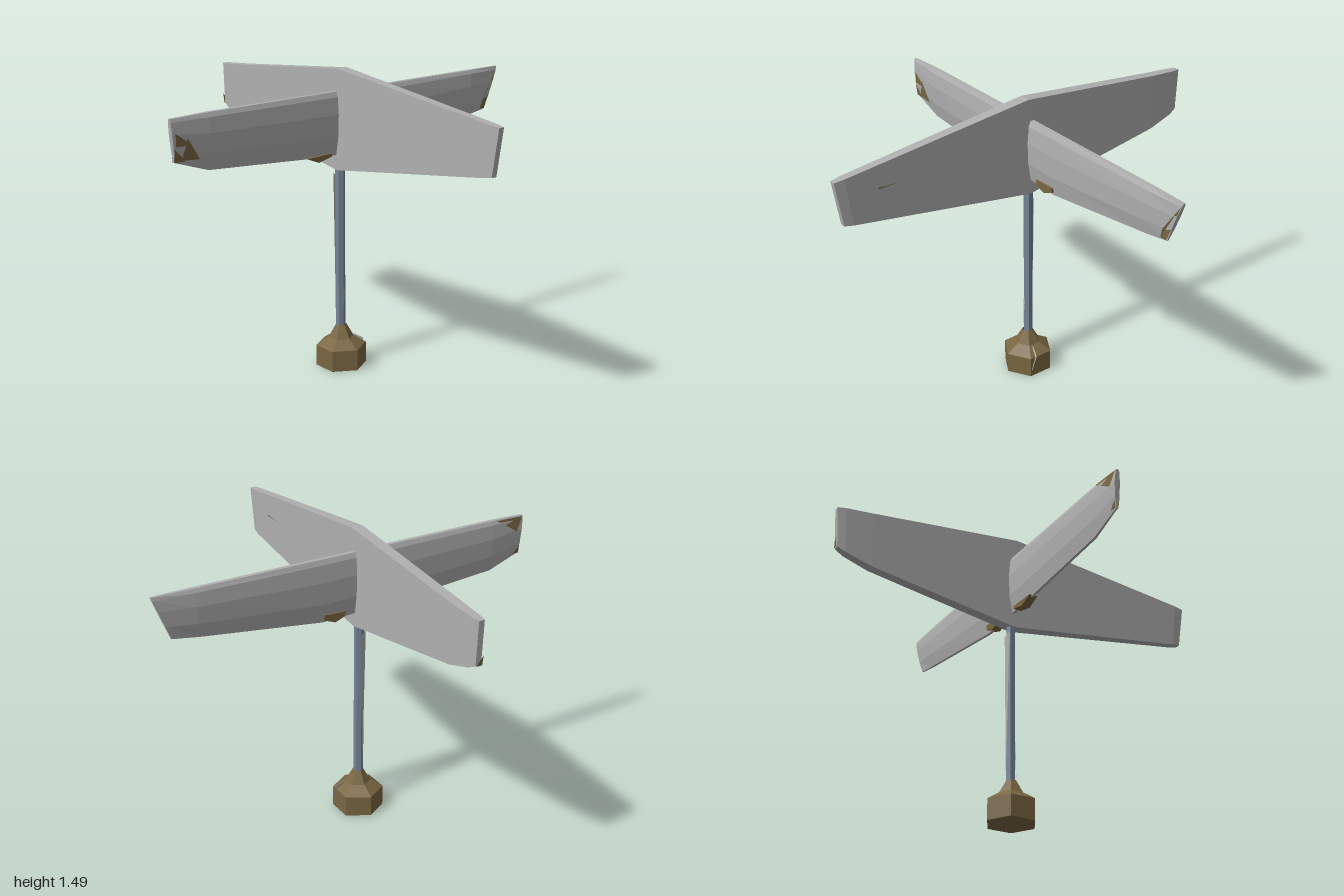
import * as THREE from 'three';

const CX = -0.054, CZ = -0.05; // post axis

function mat(name, color, side = THREE.FrontSide) {
  const m = new THREE.MeshStandardMaterial({ color, side, flatShading: true });
  m.name = name;
  return m;
}

// faceted solid through rings of equal point count, capped at both ends
function loft(rings) {
  const pos = [], n = rings[0].length;
  const tri = (a, b, c) => pos.push(...a, ...b, ...c);
  for (let i = 0; i < rings.length - 1; i++) {
    for (let j = 0; j < n; j++) {
      const k = (j + 1) % n, p = rings[i], q = rings[i + 1];
      tri(p[j], p[k], q[k]);
      tri(p[j], q[k], q[j]);
    }
  }
  const last = rings[rings.length - 1];
  for (let j = 1; j < n - 1; j++) {
    tri(rings[0][0], rings[0][j + 1], rings[0][j]);
    tri(last[0], last[j], last[j + 1]);
  }
  return triangles(pos);
}

function triangles(pos) {
  const g = new THREE.BufferGeometry();
  g.setAttribute('position', new THREE.Float32BufferAttribute(pos, 3));
  g.computeVertexNormals();
  return g;
}

// cross board stations: x at top, x at bottom, top y, bottom y, half thickness
const STATIONS = [
  [-1, -0.985, 1.375, 1.18, 0.014],
  [-0.81, -0.81, 1.38, 1.12, 0.025],
  [-0.25, -0.25, 1.38, 1.08, 0.027],
  [0.15, 0.15, 1.38, 1.065, 0.027],
  [0.8, 0.78, 1.38, 1.145, 0.025],
  [0.995, 0.91, 1.38, 1.165, 0.012],
];
// lens profile from top to bottom: position, share of the half thickness
const LENS = [[0, 0.4], [0.08, 0.75], [0.35, 1], [0.7, 0.85], [1, 0.25]];
const lerp = THREE.MathUtils.lerp;

function lensShare(t) {
  for (let i = 1; i < LENS.length; i++) {
    const [t0, s0] = LENS[i - 1], [t1, s1] = LENS[i];
    if (t <= t1) return lerp(s0, s1, (t - t0) / (t1 - t0));
  }
  return LENS[LENS.length - 1][1];
}

// half thickness of the cross board at a point of its face
function halfAt(x, y) {
  for (let i = 1; i < STATIONS.length; i++) {
    const a = STATIONS[i - 1], b = STATIONS[i];
    if (x <= b[0]) {
      const f = THREE.MathUtils.clamp((x - a[0]) / (b[0] - a[0]), 0, 1);
      const top = lerp(a[2], b[2], f), bottom = lerp(a[3], b[3], f);
      const t = THREE.MathUtils.clamp((top - y) / (top - bottom), 0, 1);
      return lerp(a[4], b[4], f) * lensShare(t);
    }
  }
  return 0.012;
}

function crossBoardGeometry() {
  return loft(STATIONS.map(([xt, xb, top, bottom, h]) => {
    const side = (s) => LENS.map(([t, w]) => [lerp(xt, xb, t), lerp(top, bottom, t), CZ + s * h * w]);
    return [...side(1), ...side(-1).reverse()];
  }));
}

function longBoardGeometry() {
  // z at top, z at bottom, top y, bottom y, half thickness
  const st = [
    [-0.99, -0.98, 1.39, 1.18, 0.014],
    [-0.95, -0.94, 1.393, 1.16, 0.021],
    [-0.81, -0.81, 1.405, 1.12, 0.025],
    [-0.03, -0.04, 1.49, 1.0, 0.029],
    [0.95, 0.92, 1.386, 1.152, 0.02],
    [1.0, 0.965, 1.38, 1.16, 0.014],
  ];
  return loft(st.map(([zt, zb, top, bottom, h]) => [
    [CX + h, bottom, zb], [CX + h, top, zt], [CX - h, top, zt], [CX - h, bottom, zb],
  ]));
}

export function createModel() {
  const group = new THREE.Group();
  const boardGrey = mat('board grey', 0xb0b0b0, THREE.DoubleSide);
  const bronze = mat('bronze', 0x7a6743, THREE.DoubleSide);
  const steel = mat('steel blue', 0x758497);
  const add = (name, geometry, material) => {
    const m = new THREE.Mesh(geometry, material);
    m.name = name;
    group.add(m);
    return m;
  };

  // six-sided foot and neck
  const foot = [[0.125, 0, 0.125, 0.105], [0.125, 0.105, 0.063, 0.145], [0.063, 0.145, 0.026, 0.21]];
  foot.forEach(([r0, y0, r1, y1], i) => {
    const m = add(i ? 'neck' : 'foot', new THREE.CylinderGeometry(r1, r0, y1 - y0, 6, 1, i > 0), bronze);
    m.position.set(CX, (y0 + y1) / 2, -0.046);
  });

  // post
  const post = add('post', new THREE.CylinderGeometry(0.024, 0.024, 0.86, 6), steel);
  post.position.set(CX, 0.63, CZ);

  // boards
  add('longBoard', longBoardGeometry(), boardGrey);
  add('crossBoard', crossBoardGeometry(), boardGrey);

  // worn patches lying on the faces of the cross board
  const patch = (side, pts) => {
    const p = pts.map(([x, y]) => [x, y, CZ + side * (halfAt(x, y) + 0.003)]);
    const pos = [];
    for (let i = 1; i < p.length - 1; i++) pos.push(...p[0], ...p[i], ...p[i + 1]);
    add('wornPatch', triangles(pos), bronze);
  };
  patch(1, [[-0.98, 1.31], [-0.98, 1.25], [-0.9, 1.25]]);
  patch(1, [[-0.92, 1.28], [-0.95, 1.185], [-0.86, 1.18]]);
  patch(1, [[-0.985, 1.24], [-0.985, 1.18], [-0.93, 1.18]]);
  patch(1, [[0.985, 1.36], [0.908, 1.17], [0.875, 1.17], [0.89, 1.22]]);
  patch(-1, [[-0.995, 1.37], [-0.84, 1.375], [-0.96, 1.3]]);
  patch(-1, [[-0.985, 1.22], [-0.985, 1.18], [-0.95, 1.18]]);

  // chips under the cross board
  const chips = [
    [[-0.27, 1.085], [-0.2, 1.057], [-0.12, 1.075], [-0.12, 1.09]],
    [[0.03, 1.1], [0.04, 1.075], [0.09, 1.057], [0.15, 1.08], [0.15, 1.105]],
  ];
  for (const pts of chips) {
    const shape = new THREE.Shape(pts.map(([x, y]) => new THREE.Vector2(x, y)));
    const g = new THREE.ExtrudeGeometry(shape, { depth: 0.044, bevelEnabled: false });
    add('chip', g.translate(0, 0, CZ - 0.022), bronze);
  }

  // small marks on the long board
  add('mark', triangles([-0.028, 1.297, 0.79, -0.028, 1.29, 0.79, -0.026, 1.293, 0.69]), bronze);
  add('endWear', triangles([CX - 0.016, 1.23, -0.993, CX + 0.012, 1.18, -0.985, CX - 0.016, 1.18, -0.985]), bronze);

  // pale slivers on the post and foot
  add('postSliver', triangles([-0.079, 0.98, -0.07, -0.06, 0.23, -0.078, -0.045, 0.95, -0.078]), boardGrey);
  add('postSliver', triangles([-0.056, 0.42, -0.024, -0.064, 0.22, -0.024, -0.048, 0.38, -0.024]), boardGrey);
  add('footSliver', triangles([0.058, 0.03, 0.012, 0.062, 0.115, -0.015, 0.01, 0.148, -0.03]), boardGrey);
  return group;
}
